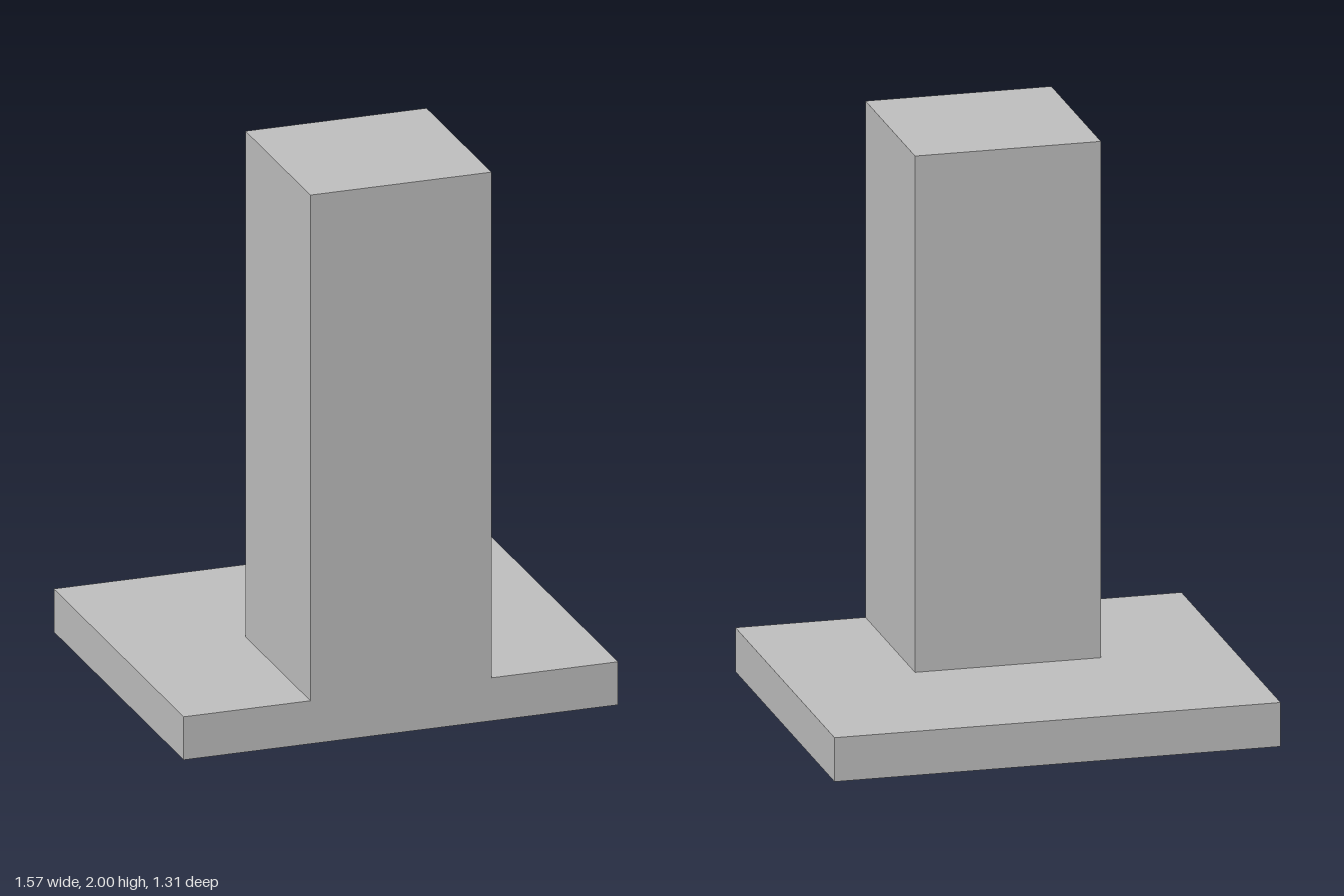
import * as THREE from 'three';

export function createModel() {
  const model = new THREE.Group();
  model.name = 'columnOnBase';

  const grey = new THREE.MeshStandardMaterial({ color: 0xbfbfbf });
  grey.name = 'lightGrey';

  // Box placed by the centre of its underside
  function addBlock(name, width, height, depth, y, z) {
    const geometry = new THREE.BoxGeometry(width, height, depth);
    geometry.translate(0, height / 2, 0);
    const mesh = new THREE.Mesh(geometry, grey);
    mesh.name = name;
    mesh.position.set(0, y, z);
    model.add(mesh);
  }

  const baseWidth = 1.574, baseDepth = 1.312, baseHeight = 0.157;
  const columnSide = baseDepth / 2;

  // Flat base slab
  addBlock('base', baseWidth, baseHeight, baseDepth, 0, 0);

  // Square column, flush with the front edge of the base
  addBlock('column', columnSide, 2 - baseHeight, columnSide, baseHeight, columnSide / 2);

  return model;
}
